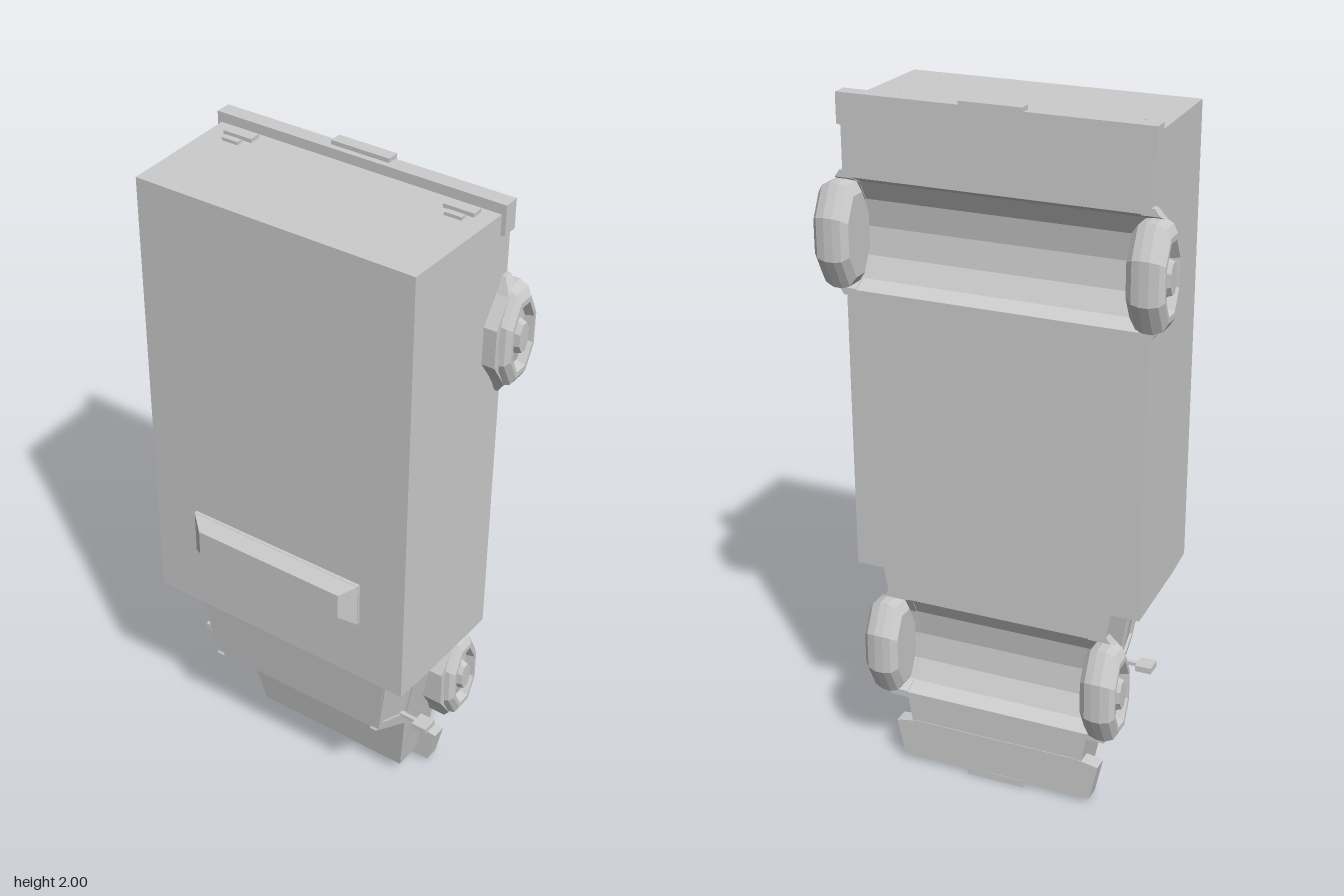
import * as THREE from 'three';

const material = new THREE.MeshStandardMaterial({ color: 0xcccccc, flatShading: true });

// The truck stands on its nose: roof towards +z, nose towards -y.
export function createModel() {
  const group = new THREE.Group();
  const FLOOR = -0.187, REAR = 1.61, FRONT = 0.385;

  function add(name, geometry) {
    const mesh = new THREE.Mesh(geometry, material);
    mesh.name = name;
    group.add(mesh);
    return mesh;
  }

  // Side profile of [z, y] points, spanned across x between two width rules
  function prism(name, points, xLow, xHigh, hole) {
    const shape = new THREE.Shape(points.map(p => new THREE.Vector2(p[0], p[1])));
    if (hole) shape.holes.push(new THREE.Path(hole.map(p => new THREE.Vector2(p[0], p[1]))));
    const geometry = new THREE.ExtrudeGeometry(shape, { depth: 1, bevelEnabled: false });
    const pos = geometry.attributes.position;
    for (let i = 0; i < pos.count; i++) {
      const z = pos.getX(i), y = pos.getY(i), w = pos.getZ(i);
      pos.setXYZ(i, w < 0.5 ? xHigh(y, z) : xLow(y, z), y, z);
    }
    geometry.computeVertexNormals();
    return add(name, geometry);
  }
  const symmetric = (name, points, half) =>
    prism(name, points, (y, z) => -half(y, z), half);
  // One side part between inner and outer distance from the middle
  const sidePart = (name, s, points, inner, outer, hole) => s > 0
    ? prism(name, points, inner, outer, hole)
    : prism(name, points, (y, z) => -outer(y, z), (y, z) => -inner(y, z), hole);

  function box(name, x, y, z, w, h, d) {
    return add(name, new THREE.BoxGeometry(w, h, d).translate(x, y, z));
  }

  // Half ellipse over an axle, from high y to low y
  function arch(cy, ry, rz, n = 6) {
    return Array.from({ length: n + 1 }, (_, i) => {
      const a = Math.PI * i / n;
      return [FLOOR + rz * Math.sin(a), cy + ry * Math.cos(a)];
    });
  }

  // Cargo box with the rear axle channel
  const boxHalf = (y, z) => 0.415 + 0.012 * (0.22 - z) / 0.41;
  symmetric('cargoBox', [
    [FLOOR, 0.628], [0.1, 0.628], [0.22, 0.636], [0.22, 1.96], [FLOOR, 1.96],
    ...arch(REAR, 0.155, 0.085)], boxHalf);

  // Hood and lower cab with the front axle channel
  const cabHalf = (y, z) => 0.252 + 0.16 * (y - 0.05) - Math.max(0, z) * 0.14;
  symmetric('lowerCab', [
    [FLOOR, 0.05], [-0.05, 0.05], [-0.005, 0.29], [0, 0.63], [FLOOR, 0.63],
    ...arch(FRONT, 0.155, 0.085)], cabHalf);

  // Upper cab, its roof and sloping windscreen
  symmetric('upperCab', [[-0.006, 0.295], [0.137, 0.375], [0.158, 0.63], [-0.006, 0.63]], cabHalf);
  symmetric('roofEdge', [[0.125, 0.362], [0.138, 0.37], [0.161, 0.63], [0.148, 0.63]],
    (y, z) => cabHalf(y, z) + 0.002);

  for (const s of [1, -1]) {
    // Raised window surround and mirror
    sidePart('sideWindowFrame', s,
      [[-0.004, 0.3], [0.138, 0.375], [0.157, 0.62], [-0.004, 0.62]],
      (y, z) => cabHalf(y, z) - 0.01, (y, z) => cabHalf(y, z) + 0.008,
      [[0.006, 0.345], [0.126, 0.392], [0.143, 0.6], [0.006, 0.6]]);
    sidePart('windscreenPillar', s,
      [[-0.01, 0.3], [-0.008, 0.285], [0.142, 0.368], [0.135, 0.382]],
      (y, z) => cabHalf(y, z) - 0.018, (y, z) => cabHalf(y, z) + 0.004);
    box('mirrorArm', s * 0.33, 0.356, 0.03, 0.08, 0.01, 0.012);
    box('mirror', s * 0.375, 0.356, 0.03, 0.048, 0.018, 0.05);

    // Fenders with tapered outer faces, wheels
    for (const [label, cy, body, face, tyre] of [
      ['rear', REAR, 0.40, 0.462, 0.385], ['front', FRONT, 0.28, 0.358, 0.28]]) {
      const rim = [
        [FLOOR, cy + 0.172], [-0.163, cy + 0.172], [-0.143, cy + 0.128], [-0.092, cy + 0.055],
        [-0.092, cy - 0.055], [-0.143, cy - 0.128], [-0.163, cy - 0.172], [FLOOR, cy - 0.172],
        ...arch(cy, 0.152, 0.083).reverse()];
      sidePart(label + 'Fender', s, rim, () => body,
        y => face - Math.max(0, Math.abs(y - cy) - 0.135) * 0.7);

      const wheel = new THREE.LatheGeometry([
        [0, 0], [0.12, 0], [0.148, 0.018], [0.156, 0.04], [0.156, 0.065], [0.144, 0.09],
        [0.12, 0.103], [0.103, 0.103], [0.093, 0.078], [0.052, 0.085], [0.045, 0.105], [0, 0.105],
      ].map(p => new THREE.Vector2(...p)), 8)
        .rotateY(Math.PI / 8).rotateZ(-s * Math.PI / 2)
        .scale(1, 1, 0.52).translate(s * tyre, cy, FLOOR + 0.002);
      add(label + 'Wheel', wheel);
    }

    // Lamps
    box('tailLamp', s * 0.335, 1.963, -0.108, 0.088, 0.016, 0.034);
    box('reverseLamp', s * 0.337, 1.962, -0.07, 0.05, 0.014, 0.018);
    box('headLamp', s * 0.197, 0.044, -0.115, 0.09, 0.018, 0.034);
    box('markerLamp', s * 0.325, 0.628, 0.188, 0.07, 0.016, 0.018);
  }

  // Bumpers cut from a plan outline, with small plates
  function bumper(name, half) {
    const outline = [...half, ...half.map(([x, y]) => [-x, y]).reverse()];
    add(name, new THREE.ExtrudeGeometry(
      new THREE.Shape(outline.map(p => new THREE.Vector2(...p))),
      { depth: 0.046, bevelEnabled: false }).translate(0, 0, -0.189));
  }
  bumper('rearBumper', [[0.40, 1.895], [0.438, 1.905], [0.438, 1.988]]);
  bumper('frontBumper', [[0.292, 0.018], [0.316, 0.128], [0.25, 0.14]]);
  box('rearPlate', 0, 1.99, -0.178, 0.176, 0.02, 0.036);
  box('frontPlate', 0, 0.011, -0.172, 0.176, 0.022, 0.036);

  // Raised roof vent: a short skirt with a tapered top
  box('roofVentBase', 0, 0.9, 0.222, 0.55, 0.134, 0.016);
  const vent = new THREE.BoxGeometry(0.55, 0.134, 0.034).translate(0, 0.9, 0.246);
  const pos = vent.attributes.position;
  for (let i = 0; i < pos.count; i++) {
    if (pos.getZ(i) < 0.25) continue;
    pos.setX(i, pos.getX(i) * 0.85);
    pos.setY(i, 0.9 + (pos.getY(i) - 0.9) * 0.57);
  }
  vent.computeVertexNormals();
  add('roofVentTop', vent);

  return group;
}
